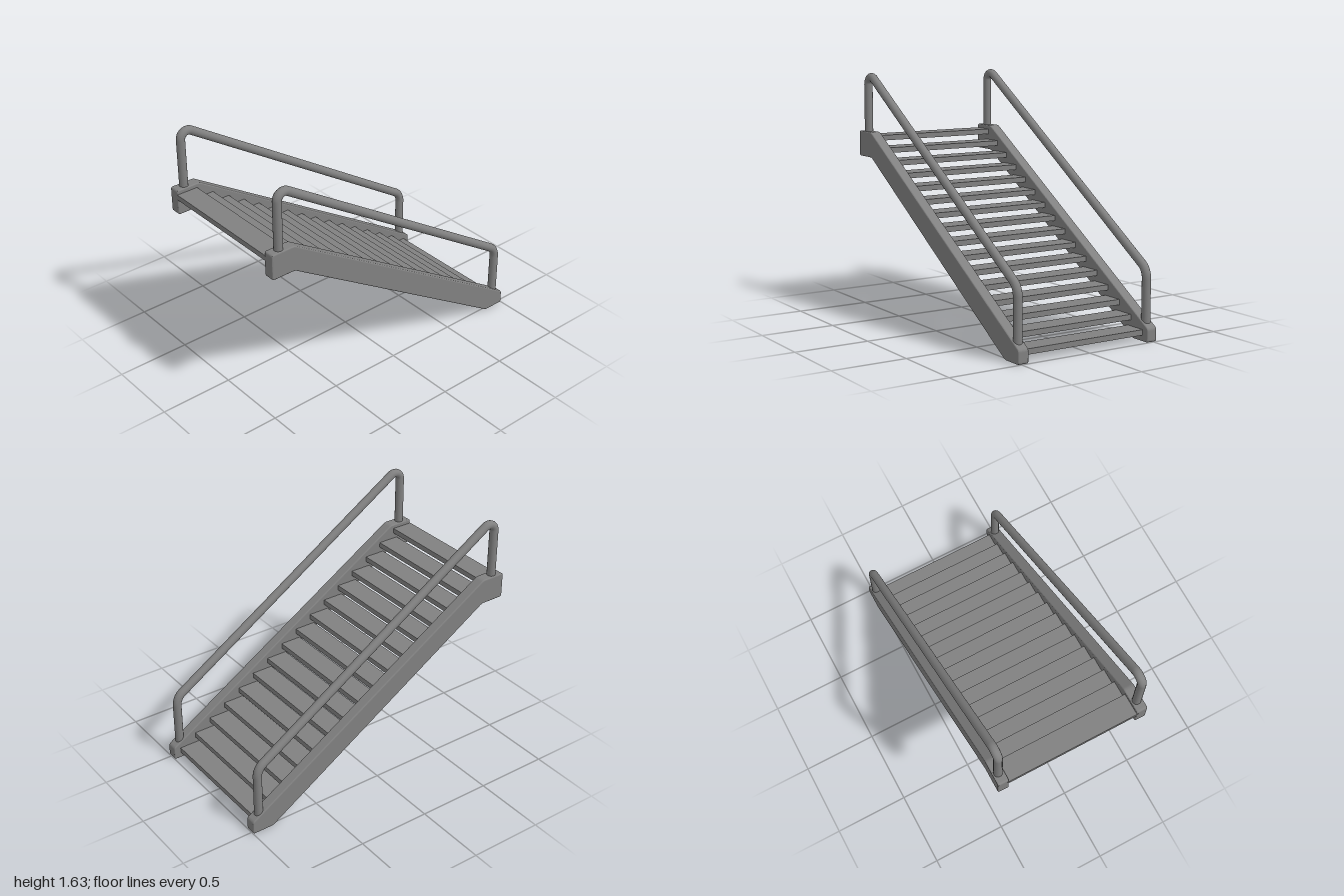
import * as THREE from 'three';

const STEPS = 16;
const SIDE_X = 0.487;

// Sloped side beam with level landing ends; profile points are [z, y]
function stringerGeometry() {
  const width = 0.075, bevel = 0.008, round = 0.016;
  const profile = [
    [-0.85, 0], [0.83, 1.055], [1, 1.055], [1, 1.23],
    [0.83, 1.23], [-1, 0.09], [-1, 0],
  ].map(([z, y]) => new THREE.Vector2(z, y));
  // Soften every corner of the outline
  const shape = new THREE.Shape();
  profile.forEach((corner, i) => {
    const toward = (j) => profile[(j + profile.length) % profile.length]
      .clone().sub(corner).setLength(round).add(corner);
    const a = toward(i - 1), b = toward(i + 1);
    if (i === 0) shape.moveTo(a.x, a.y);
    else shape.lineTo(a.x, a.y);
    shape.quadraticCurveTo(corner.x, corner.y, b.x, b.y);
  });
  shape.closePath();
  const geometry = new THREE.ExtrudeGeometry(shape, {
    depth: width - 2 * bevel, bevelEnabled: true, bevelThickness: bevel,
    bevelSize: bevel, bevelOffset: -bevel, bevelSegments: 3, curveSegments: 5,
  });
  geometry.translate(0, 0, -(width / 2 - bevel));
  geometry.rotateY(-Math.PI / 2);
  return geometry;
}

// Bent pipe: post, rounded corner, sloped rail, rounded corner, post
function handrailGeometry() {
  const foot = new THREE.Vector3(0, 0.08, -0.935);
  const lowCorner = new THREE.Vector3(0, 0.457, -0.935);
  const highCorner = new THREE.Vector3(0, 1.647, 0.925);
  const head = new THREE.Vector3(0, 1.2, 0.925);
  const path = new THREE.CurvePath();
  let from = foot;
  // cut = distance from corner to tangent points, pull = handle length as a share of cut
  const bend = (corner, next, cut, pull) => {
    const toward = (target) => target.clone().sub(corner).setLength(cut).add(corner);
    const a = toward(from), b = toward(next);
    path.add(new THREE.LineCurve3(from, a));
    path.add(new THREE.CubicBezierCurve3(
      a, a.clone().lerp(corner, pull), b.clone().lerp(corner, pull), b));
    from = b;
  };
  bend(lowCorner, highCorner, 0.055, 0.62);
  bend(highCorner, head, 0.092, 0.43);
  path.add(new THREE.LineCurve3(from, head));
  return new THREE.TubeGeometry(path, 240, 0.029, 16, false);
}

export function createModel() {
  const model = new THREE.Group();
  model.name = 'staircase';
  const material = new THREE.MeshStandardMaterial({ color: 0x808080 });
  const add = (name, geometry, x, y, z) => {
    const mesh = new THREE.Mesh(geometry, material);
    mesh.name = name;
    mesh.position.set(x, y, z);
    model.add(mesh);
  };

  // Side beams and handrails, mirrored left and right
  const stringer = stringerGeometry();
  const handrail = handrailGeometry();
  for (const [side, sign] of [['left', 1], ['right', -1]]) {
    add(side + 'Stringer', stringer, sign * SIDE_X, 0, 0);
    add(side + 'Handrail', handrail, sign * SIDE_X, 0, 0);
  }

  // Open treads, climbing toward the front
  const tread = new THREE.BoxGeometry(0.92, 0.036, 0.15);
  for (let i = 0; i < STEPS; i++) {
    add('tread' + (i + 1), tread, 0, 0.059 + i * 0.075, -0.877 + i * 0.1202);
  }
  return model;
}
